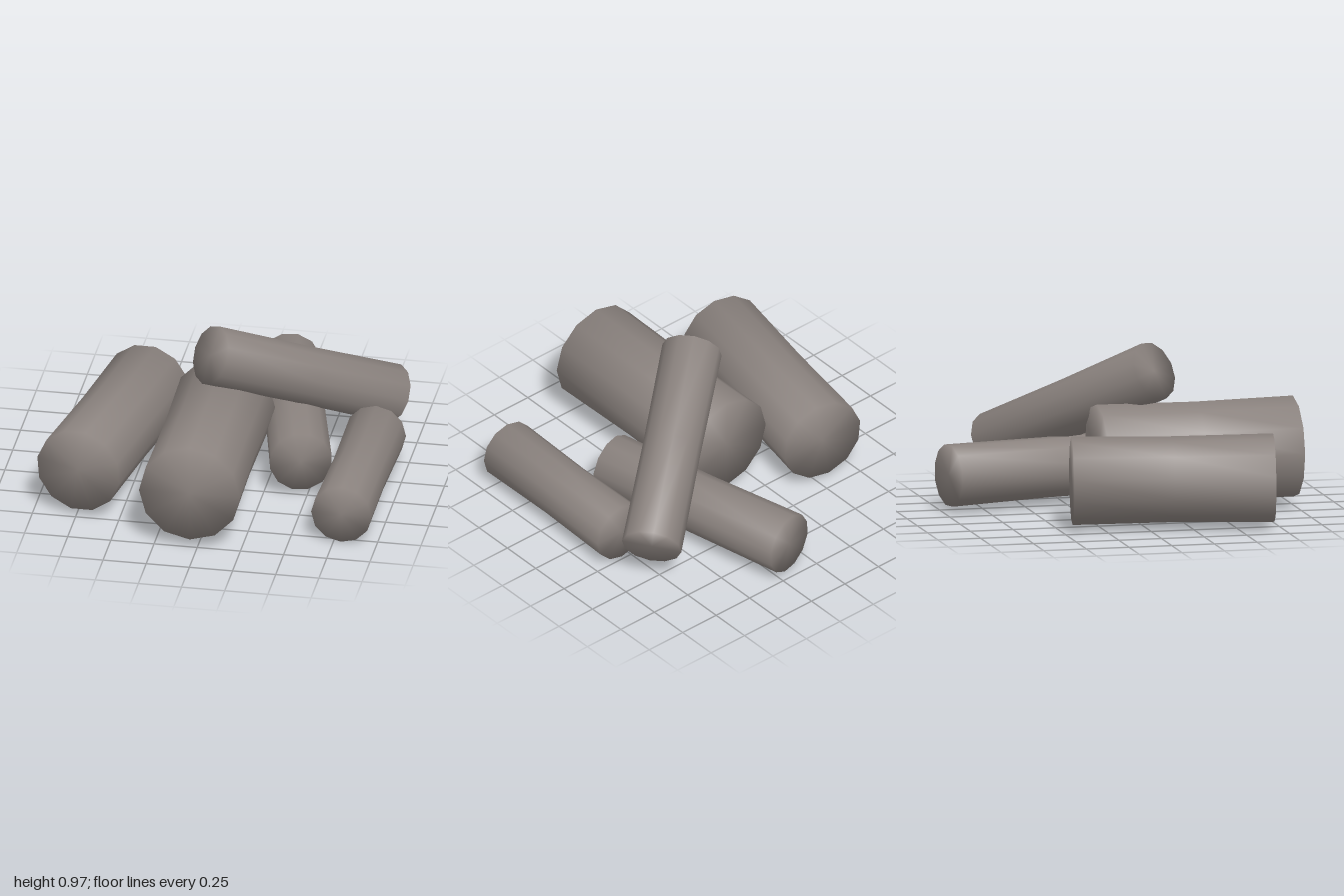
import * as THREE from 'three';
import { mergeVertices } from 'three/addons/utils/BufferGeometryUtils.js';

// One log between two end centres; shared vertices give the soft, rounded-looking ends
function makeLog(name, start, end, radius, waist, material) {
  const a = new THREE.Vector3(...start), b = new THREE.Vector3(...end);
  const axis = b.clone().sub(a);
  let geo = new THREE.CylinderGeometry(radius, radius, axis.length(), 12, 2);

  // Slightly narrower in the middle
  const p = geo.attributes.position;
  for (let i = 0; i < p.count; i++) {
    const onMiddle = Math.abs(p.getY(i)) < 0.01;
    if (onMiddle) p.setXYZ(i, p.getX(i) * waist, p.getY(i), p.getZ(i) * waist);
  }

  geo.deleteAttribute('normal');
  geo.deleteAttribute('uv');
  geo = mergeVertices(geo, 1e-4);
  geo.applyQuaternion(new THREE.Quaternion().setFromUnitVectors(
    new THREE.Vector3(0, 1, 0), axis.normalize()));
  geo.computeVertexNormals();

  const log = new THREE.Mesh(geo, material);
  log.name = name;
  log.position.copy(a).add(b).multiplyScalar(0.5);
  return log;
}

export function createModel() {
  const group = new THREE.Group();
  group.name = 'logPile';
  const wood = new THREE.MeshStandardMaterial({ color: 0x8a827e });
  wood.name = 'greyWood';

  // name, front end, back end, radius, waist scale
  const logs = [
    ['rightLog', [-0.74, 0.287, 0.72], [-0.54, 0.28, -0.415], 0.252, 0.97],
    ['thickMiddleLog', [-0.045, 0.345, 1.0], [-0.05, 0.338, -0.15], 0.292, 0.97],
    ['rearLog', [0.465, 0.218, 0.255], [0.175, 0.215, -0.965], 0.18, 0.96],
    ['leftLog', [0.795, 0.18, 0.785], [0.81, 0.185, -0.235], 0.175, 0.95],
    ['leaningLog', [-0.07, 0.815, 0.18], [0.85, 0.285, -0.55], 0.172, 0.97],
  ];
  for (const [name, front, back, radius, waist] of logs) {
    group.add(makeLog(name, front, back, radius, waist, wood));
  }
  return group;
}
